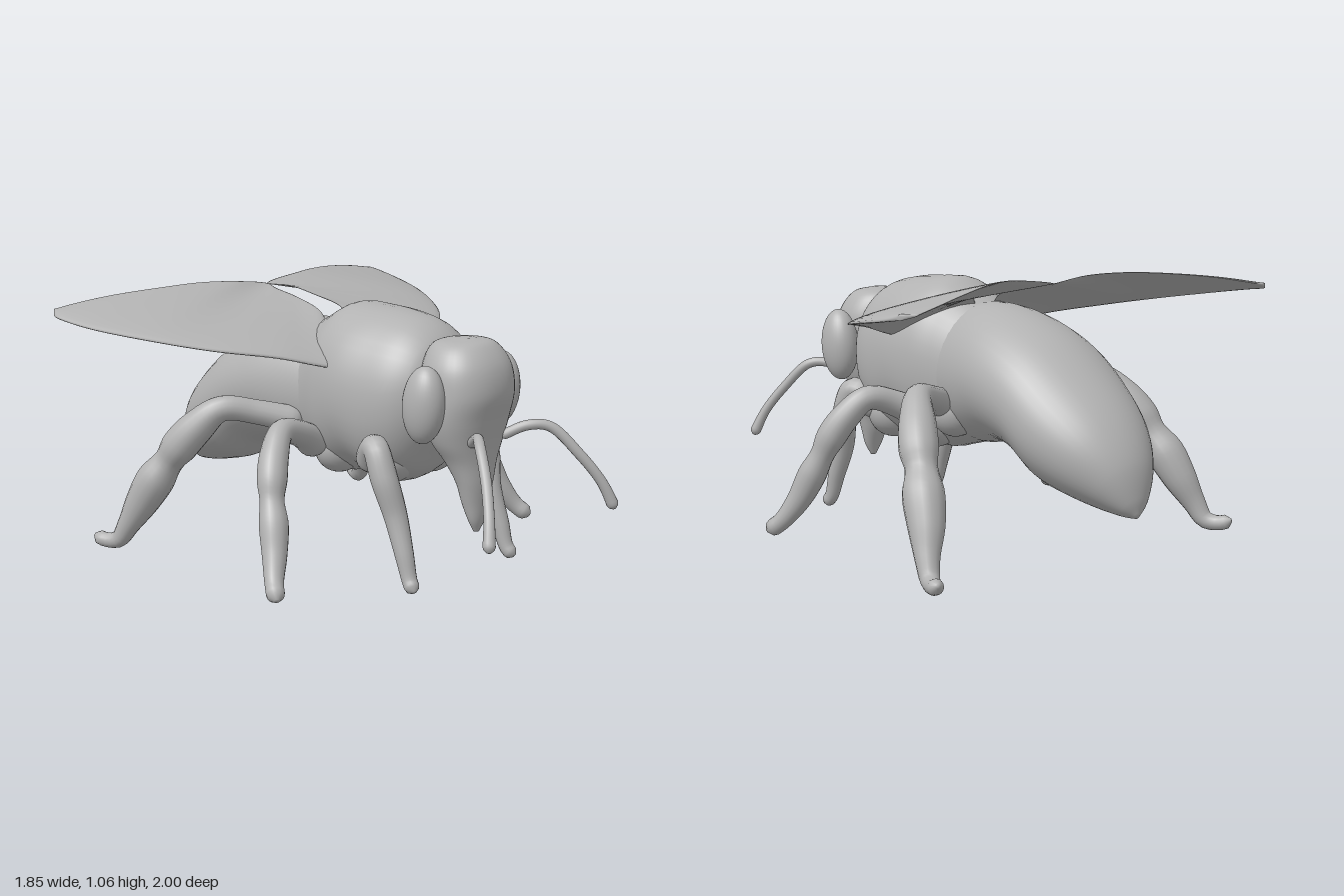
import * as THREE from 'three';

const V = (x, y, z) => new THREE.Vector3(x, y, z);
const grey = new THREE.MeshStandardMaterial({ color: 0xb2b2b2 });
grey.name = 'body grey';

// Smooth closed skin over a list of equal rings, with outward faces
function skin(rings) {
  const n = rings[0].length, last = rings.length - 1;
  const pts = rings.flat(), idx = [];
  const middle = (r) => r.reduce((s, p) => s.add(p), V(0, 0, 0)).divideScalar(n);
  const a = pts.push(middle(rings[0])) - 1, b = pts.push(middle(rings[last])) - 1;
  for (let j = 0; j < n; j++) {
    const k = (j + 1) % n;
    for (let i = 0; i < last; i++) {
      const p = i * n, q = p + n;
      idx.push(p + j, p + k, q + j, p + k, q + k, q + j);
    }
    idx.push(a, k, j, b, last * n + j, last * n + k);
  }
  let volume = 0;
  for (let i = 0; i < idx.length; i += 3) {
    volume += pts[idx[i]].dot(V(0, 0, 0).crossVectors(pts[idx[i + 1]], pts[idx[i + 2]]));
  }
  if (volume < 0) idx.reverse();
  const g = new THREE.BufferGeometry().setFromPoints(pts);
  g.setIndex(idx);
  g.computeVertexNormals();
  return g;
}

// Body loft: each section is [z1, y1, z2, y2, halfWidth] between two outline points
function loft(sections, x0, power = 2, steps = 56, sides = 40) {
  const one = new THREE.CatmullRomCurve3(sections.map((s) => V(s[4], s[1], s[0])));
  const two = new THREE.CatmullRomCurve3(sections.map((s) => V(0, s[3], s[2])));
  const round = (v) => Math.sign(v) * Math.abs(v) ** (2 / power);
  const rings = [];
  for (let i = 0; i <= steps; i++) {
    const p = one.getPoint(i / steps), q = two.getPoint(i / steps);
    const w = Math.max(p.x, 0.003);
    rings.push(Array.from({ length: sides }, (_, j) => {
      const t = (j / sides) * Math.PI * 2, c = (round(Math.cos(t)) + 1) / 2;
      return V(x0 + w * round(Math.sin(t)), q.y + (p.y - q.y) * c, q.z + (p.z - q.z) * c);
    }));
  }
  return skin(rings);
}

// Limb of varying thickness with rounded ends: each point is [x, y, z, radius]
function limb(points, side, shift = 0, steps = 56, sides = 16) {
  const path = new THREE.CatmullRomCurve3(points.map((p) => V(p[0] * side + shift, p[1], p[2])));
  const radius = new THREE.CatmullRomCurve3(points.map((p, i) => V(p[3], i * 0.05, 0)));
  const frames = path.computeFrenetFrames(steps), length = path.getLength();
  const rings = [];
  for (let i = 0; i <= steps; i++) {
    const u = i / steps, c = path.getPointAt(u);
    let r = radius.getPoint(path.getUtoTmapping(u)).x;
    const end = Math.min(1, (Math.min(u, 1 - u) * length) / r);
    r *= Math.max(0.3, Math.sqrt(1 - (1 - end) ** 2));
    rings.push(Array.from({ length: sides }, (_, j) => {
      const t = (j / sides) * Math.PI * 2;
      return c.clone().addScaledVector(frames.normals[i], r * Math.cos(t))
        .addScaledVector(frames.binormals[i], r * Math.sin(t));
    }));
  }
  return skin(rings);
}

// Thin cambered wing between its leading and trailing edges, thicker in front
function wing(lead, trail, steps = 64, across = 16) {
  const A = new THREE.CatmullRomCurve3(lead.map((p) => V(...p)));
  const B = new THREE.CatmullRomCurve3(trail.map((p) => V(...p)));
  const rings = [];
  for (let i = 0; i <= steps; i++) {
    const a = A.getPoint(i / steps), b = B.getPoint(i / steps), ring = [];
    const taper = 1 - 0.6 * (i / steps), camber = 0.015 * a.distanceTo(b);
    for (let j = 0; j < across * 2; j++) {
      const t = (j / across) * Math.PI, v = (1 - Math.cos(t)) / 2;
      const p = a.clone().lerp(b, v);
      p.y += Math.sin(t) * (0.007 + 0.03 * taper * (1 - v) ** 3) + camber * Math.sin(Math.PI * v);
      ring.push(p);
    }
    rings.push(ring);
  }
  return skin(rings);
}

export function createModel() {
  const model = new THREE.Group();
  model.name = 'bee';
  const add = (name, geometry) => {
    const mesh = new THREE.Mesh(geometry, grey);
    mesh.name = name;
    model.add(mesh);
    return mesh;
  };
  const ball = (name, pos, size) => {
    const m = add(name, new THREE.SphereGeometry(1, 32, 20));
    m.position.set(...pos);
    m.scale.set(...size);
    return m;
  };

  add('abdomen', loft([
    [0.02, 0.9, 0.02, 0.4, 0.21], [-0.2, 0.935, -0.2, 0.38, 0.255],
    [-0.38, 0.91, -0.36, 0.4, 0.28], [-0.58, 0.83, -0.5, 0.37, 0.285],
    [-0.76, 0.7, -0.62, 0.285, 0.268], [-0.9, 0.56, -0.75, 0.245, 0.215],
    [-0.98, 0.42, -0.87, 0.22, 0.135], [-1, 0.29, -0.95, 0.21, 0.06],
    [-0.995, 0.225, -0.985, 0.21, 0.01]], -0.015));

  add('thorax', loft([
    [0.49, 0.85, 0.49, 0.57, 0.13], [0.435, 0.935, 0.435, 0.485, 0.205],
    [0.36, 0.985, 0.36, 0.385, 0.255], [0.25, 1.01, 0.25, 0.335, 0.284],
    [0.12, 1.02, 0.12, 0.365, 0.296], [0, 1.02, 0, 0.335, 0.278],
    [-0.09, 0.975, -0.09, 0.355, 0.25], [-0.18, 0.925, -0.2, 0.385, 0.22]], -0.007, 2.1));

  // Head running down into the pointed snout
  add('head', loft([
    [0.59, 0.945, 0.52, 0.945, 0.03], [0.655, 0.925, 0.44, 0.925, 0.122],
    [0.71, 0.85, 0.41, 0.85, 0.174], [0.725, 0.75, 0.41, 0.75, 0.188],
    [0.7, 0.65, 0.43, 0.65, 0.185], [0.68, 0.56, 0.455, 0.56, 0.158],
    [0.67, 0.48, 0.505, 0.48, 0.113], [0.665, 0.4, 0.55, 0.4, 0.083],
    [0.655, 0.32, 0.57, 0.32, 0.06], [0.645, 0.25, 0.595, 0.25, 0.038],
    [0.63, 0.205, 0.61, 0.205, 0.012]], -0.018, 2.2));

  const antenna = [[0.08, 0.565, 0.65, 0.02], [0.14, 0.61, 0.73, 0.02], [0.2, 0.605, 0.79, 0.02],
    [0.27, 0.5, 0.88, 0.02], [0.33, 0.39, 0.945, 0.02], [0.37, 0.285, 0.98, 0.024]];
  const frontLeg = [[0.18, 0.45, 0.28, 0.06], [0.25, 0.545, 0.38, 0.05], [0.26, 0.44, 0.435, 0.052],
    [0.24, 0.3, 0.475, 0.045], [0.245, 0.16, 0.525, 0.036], [0.25, 0.06, 0.56, 0.029],
    [0.26, 0.032, 0.59, 0.032]];
  const middleLeg = [[0.18, 0.46, -0.04, 0.07], [0.32, 0.54, 0, 0.052], [0.44, 0.57, 0.025, 0.048],
    [0.515, 0.5, 0.065, 0.056], [0.56, 0.42, 0.1, 0.058], [0.585, 0.35, 0.125, 0.047],
    [0.61, 0.27, 0.16, 0.056], [0.645, 0.17, 0.2, 0.048], [0.695, 0.08, 0.25, 0.036],
    [0.73, 0.036, 0.3, 0.036]];
  const rearLeg = [[0.18, 0.54, -0.12, 0.06], [0.33, 0.59, -0.23, 0.05], [0.45, 0.61, -0.31, 0.052],
    [0.515, 0.53, -0.39, 0.07], [0.555, 0.45, -0.45, 0.073], [0.575, 0.39, -0.49, 0.06],
    [0.605, 0.31, -0.54, 0.077], [0.635, 0.21, -0.595, 0.068], [0.67, 0.11, -0.645, 0.046],
    [0.69, 0.046, -0.685, 0.036], [0.715, 0.036, -0.735, 0.03], [0.735, 0.052, -0.785, 0.03]];

  for (const side of [1, -1]) {
    const name = side > 0 ? 'left' : 'right';
    const shift = side > 0 ? 0 : -0.03;
    ball(name + 'Eye', [side * 0.215 + shift / 3, 0.715, 0.53], [0.072, 0.148, 0.087]).rotation.x = 0.08;
    add(name + 'Antenna', limb(antenna, side, shift / 2));
    add(name + 'FrontLeg', limb(frontLeg, side, shift * 2.5));
    add(name + 'MiddleLeg', limb(middleLeg, side, shift));
    add(name + 'RearLeg', limb(rearLeg, side, shift));
    // Swollen leg bases under the thorax
    ball(name + 'FrontHip', [side * 0.12, 0.46, 0.27], [0.12, 0.11, 0.1]);
    ball(name + 'MiddleHip', [side * 0.12, 0.45, 0], [0.12, 0.105, 0.09]);
    ball(name + 'RearHip', [side * 0.14, 0.51, -0.15], [0.1, 0.1, 0.09]);
  }

  // Wings meet behind the narrow gap above the abdomen
  add('leftWing', wing(
    [[0.2, 0.79, 0.14], [0.3, 0.81, 0.09], [0.45, 0.85, 0.01], [0.62, 0.883, -0.13],
      [0.75, 0.905, -0.29], [0.85, 0.93, -0.47], [0.91, 0.955, -0.66], [0.924, 0.97, -0.76], [0.918, 0.98, -0.81]],
    [[0.04, 0.92, -0.15], [0.085, 0.96, -0.2], [0.085, 1, -0.37], [0.085, 1.02, -0.51], [0.025, 1.03, -0.58],
      [0.25, 1.055, -0.615], [0.4, 1.052, -0.67], [0.6, 1.033, -0.762], [0.78, 1.008, -0.838], [0.875, 0.988, -0.857]]));
  add('rightWing', wing(
    [[-0.2, 0.79, 0.14], [-0.3, 0.81, 0.08], [-0.45, 0.85, -0.01], [-0.65, 0.885, -0.16],
      [-0.8, 0.92, -0.36], [-0.9, 0.95, -0.56], [-0.928, 0.97, -0.7], [-0.924, 0.98, -0.77], [-0.9, 0.988, -0.81]],
    [[-0.05, 0.92, -0.15], [-0.035, 0.96, -0.2], [-0.01, 1, -0.37], [0, 1.02, -0.5], [0.025, 1.03, -0.58],
      [-0.13, 1.053, -0.59], [-0.28, 1.06, -0.635], [-0.45, 1.052, -0.685], [-0.65, 1.032, -0.765],
      [-0.8, 1.007, -0.82], [-0.872, 0.995, -0.824]]));
  return model;
}
